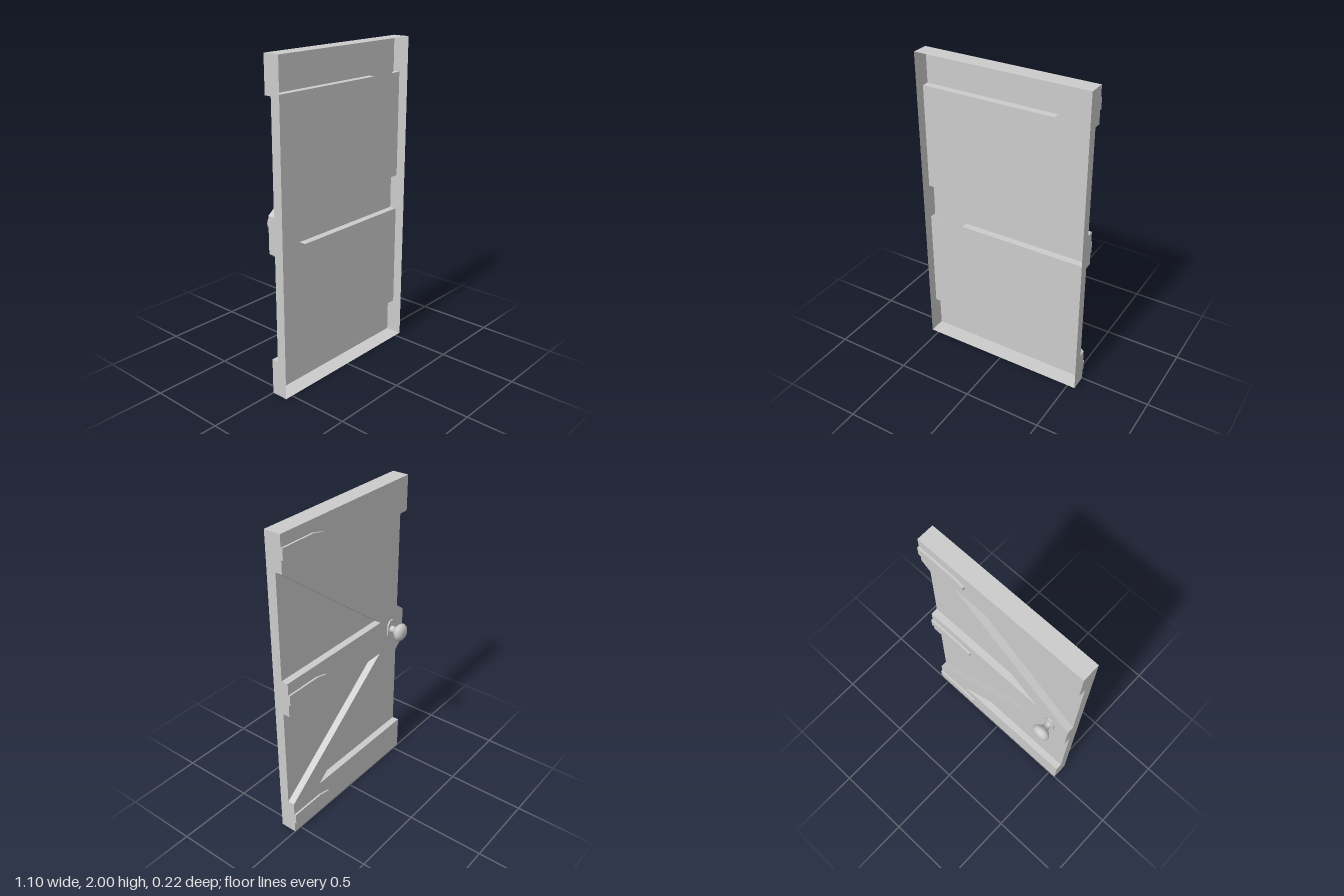
import * as THREE from 'three';

const W = 0.55, H = 2, D = 0.107; // half width, height, depth of the door shell
const RECESS = 0.045;             // depth of the panels behind the braces
const TIP = 0.31;                 // inner end of each brace edge
const BAYS = [[0.225, 0.89], [1.115, 1.78]];

const material = new THREE.MeshStandardMaterial({ color: 0xcccccc, side: THREE.DoubleSide });

function add(parent, name, geometry, x = 0, y = 0, z = 0) {
  const mesh = new THREE.Mesh(geometry, material);
  mesh.name = name;
  mesh.position.set(x, y, z);
  parent.add(mesh);
  return mesh;
}

const shapeOf = (points) => new THREE.Shape(points.map(([x, y]) => new THREE.Vector2(x, y)));

// Flat strip standing on the line a-b, running from depth z0 to z1
function wall([ax, ay], [bx, by], z0, z1) {
  const geometry = new THREE.BufferGeometry();
  geometry.setAttribute('position', new THREE.Float32BufferAttribute([
    ax, ay, z0, bx, by, z0, bx, by, z1,
    ax, ay, z0, bx, by, z1, ax, ay, z1,
  ], 3));
  geometry.computeVertexNormals();
  return geometry;
}

export function createModel() {
  const door = new THREE.Group();
  door.name = 'door';

  // Rails and diagonal braces: one sheet, notched by triangles from both sides
  const [[low0, low1], [up0, up1]] = BAYS;
  const outline = [
    [-W, 0], [W, 0], [W, low0], [-TIP, low1], [W, low1], [W, up0], [-TIP, up0], [W, up1],
    [W, H], [-W, H], [-W, up1], [TIP, up1], [-W, up0], [-W, low1], [TIP, low0], [-W, low0],
  ];
  const frame = new THREE.ShapeGeometry(shapeOf(outline));
  frame.rotateY(Math.PI);     // face the back
  frame.scale(-1, 1, 1);      // keep the braces' handedness
  const index = frame.index;  // restore the winding after mirroring
  for (let i = 0; i < index.count; i += 3) {
    const b = index.getX(i + 1);
    index.setX(i + 1, index.getX(i + 2));
    index.setX(i + 2, b);
  }
  frame.computeVertexNormals();
  add(door, 'railsAndBraces', frame);

  // Outer walls reach the open front, brace edges stop at the panels
  outline.forEach((a, i) => {
    const b = outline[(i + 1) % outline.length];
    const outer = Math.abs(a[0]) === W && Math.abs(b[0]) === W;
    add(door, outer ? 'outerWall' : 'braceEdge', wall(b, a, 0, outer ? D : RECESS));
  });

  // Recessed panels and the side walls beside them
  for (const [y0, y1] of BAYS) {
    const panel = new THREE.PlaneGeometry(2 * W, y1 - y0);
    panel.rotateY(Math.PI);
    add(door, 'panel', panel, 0, (y0 + y1) / 2, RECESS);
    add(door, 'sideWall', wall([W, y1], [W, y0], RECESS, D));
    add(door, 'sideWall', wall([-W, y0], [-W, y1], RECESS, D));
  }

  // Strap hinges with tapered ends
  const strap = new THREE.ExtrudeGeometry(shapeOf([
    [W, -0.034], [W, 0.034], [0.31, 0.034], [0.23, 0.014], [0.23, -0.014], [0.31, -0.034],
  ]), { depth: 0.012, bevelEnabled: false });
  for (const y of [0.108, 1.004, 1.894]) add(door, 'hinge', strap, 0, y, -0.012);

  // Handle: long eight-sided plate with a turned knob
  const handle = new THREE.Group();
  handle.name = 'handle';
  handle.position.set(-0.42, 1.025, 0);
  door.add(handle);
  const plate = new THREE.ExtrudeGeometry(shapeOf([
    [-0.036, -0.035], [-0.016, -0.062], [0.016, -0.062], [0.036, -0.035],
    [0.036, 0.035], [0.016, 0.062], [-0.016, 0.062], [-0.036, 0.035],
  ]), { depth: 0.009, bevelEnabled: false });
  add(handle, 'plate', plate, 0, 0, -0.009);
  const profile = [
    [0.024, 0], [0.024, 0.012], [0.021, 0.02], [0.022, 0.036], [0.032, 0.046],
    [0.05, 0.062], [0.059, 0.078], [0.052, 0.094], [0.036, 0.105], [0.02, 0.11], [0, 0.11],
  ].map(([r, h]) => new THREE.Vector2(r, h));
  add(handle, 'knob', new THREE.LatheGeometry(profile, 16)).rotation.x = -Math.PI / 2;

  return door;
}
